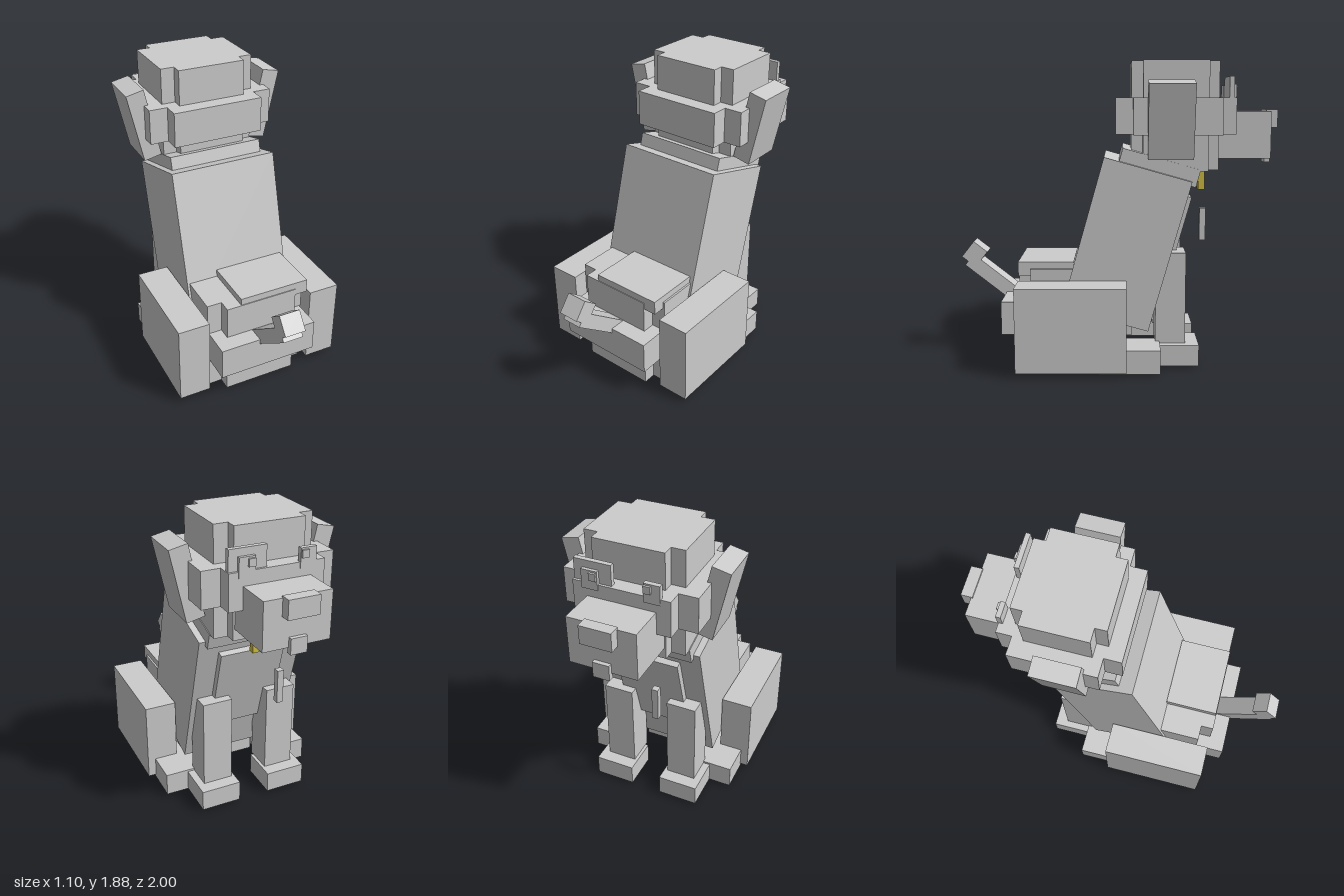
import * as THREE from 'three';

const grey = new THREE.MeshStandardMaterial({ color: 0xcccccc });
grey.name = 'light grey';
const gold = new THREE.MeshStandardMaterial({ color: 0xd4c044 });
gold.name = 'gold';

export function createModel() {
  const model = new THREE.Group();
  model.name = 'sittingDog';

  // Box given by its [min, max] range on each axis
  function box(name, [x0, x1], [y0, y1], [z0, z1], parent = model, material = grey) {
    const mesh = new THREE.Mesh(new THREE.BoxGeometry(x1 - x0, y1 - y0, z1 - z0), material);
    mesh.position.set((x0 + x1) / 2, (y0 + y1) / 2, (z0 + z1) / 2);
    mesh.name = name;
    parent.add(mesh);
    return mesh;
  }
  const wide = (half) => [-half, half];
  // Same box on both sides of the body
  function pair(name, [x0, x1], y, z) {
    box(name, [x0, x1], y, z);
    box(name, [-x1, -x0], y, z);
  }

  // Head: two crossed blocks, with a crossed cheek band around them
  box('head', wide(0.30), [1.22, 1.88], [-0.55, -0.155]);
  box('head', wide(0.215), [1.22, 1.88], [-0.62, -0.085]);
  box('cheekBand', wide(0.405), [1.44, 1.66], [-0.62, -0.095]);
  box('cheekBand', wide(0.29), [1.44, 1.66], [-0.715, 0.01]);

  // Face
  box('muzzle', wide(0.205), [1.29, 1.577], [-0.94, -0.6]);
  box('nose', wide(0.095), [1.475, 1.588], [-1.0, -0.93]);
  box('tongue', wide(0.05), [1.255, 1.35], [-0.965, -0.93]);
  pair('eye', [0.135, 0.232], [1.625, 1.74], [-0.72, -0.69]);
  pair('pupil', [0.138, 0.18], [1.685, 1.73], [-0.733, -0.71]);
  box('eyePatch', [0.06, 0.285], [1.64, 1.785], [-0.7, -0.67]);

  // Ears splay outward at the top
  for (const side of [1, -1]) {
    const ear = box('ear', wide(0.0575), wide(0.225), [-0.45, -0.18]);
    ear.position.set(side * 0.41, 1.528, -0.315);
    ear.rotation.z = -side * 0.215;
  }

  // Torso leans toward the head and carries the collar and chest
  const torso = new THREE.Group();
  torso.name = 'torso';
  torso.position.set(0, 0.772, -0.055);
  torso.rotation.x = -0.275;
  model.add(torso);
  box('body', wide(0.345), wide(0.479), wide(0.275), torso);
  box('collar', wide(0.305), [0.45, 0.56], [-0.308, 0.18], torso);
  box('chest', wide(0.21), [-0.2, 0.376], [-0.315, -0.25], torso);

  // Hanging tag and chest tuft
  box('collarTag', wide(0.055), [1.08, 1.2], [-0.555, -0.515], model, gold);
  box('chestTuft', [-0.14, -0.1], [0.725, 0.94], [-0.583, -0.543]);

  // Rump: crossed blocks, belt and back patch
  box('rump', wide(0.33), [0.005, 0.625], [0.09, 0.53]);
  box('rump', wide(0.235), [0.005, 0.625], [0.01, 0.61]);
  box('rumpBelt', wide(0.32), [0.21, 0.415], [-0.09, 0.715]);
  box('backPatch', [-0.14, 0.318], [0.58, 0.668], [0.265, 0.605]);

  // Legs and paws
  pair('haunch', [0.35, 0.55], [0.042, 0.555], [-0.055, 0.605]);
  pair('hindPaw', [0.25, 0.5], [0.02, 0.165], [-0.26, 0.11]);
  pair('frontLeg', [0.12, 0.31], [0.15, 0.72], [-0.42, -0.235]);
  pair('frontPaw', [0.1, 0.355], [0.02, 0.152], [-0.502, -0.26]);

  // Tail slopes up and back, with a thicker tip
  const tail = box('tail', wide(0.064), wide(0.045), wide(0.23));
  tail.position.set(0, 0.485, 0.772);
  tail.rotation.x = -0.67;
  const tip = box('tailTip', wide(0.066), wide(0.0625), wide(0.055));
  tip.position.set(0, 0.663, 0.918);
  tip.rotation.x = -0.67;

  return model;
}
